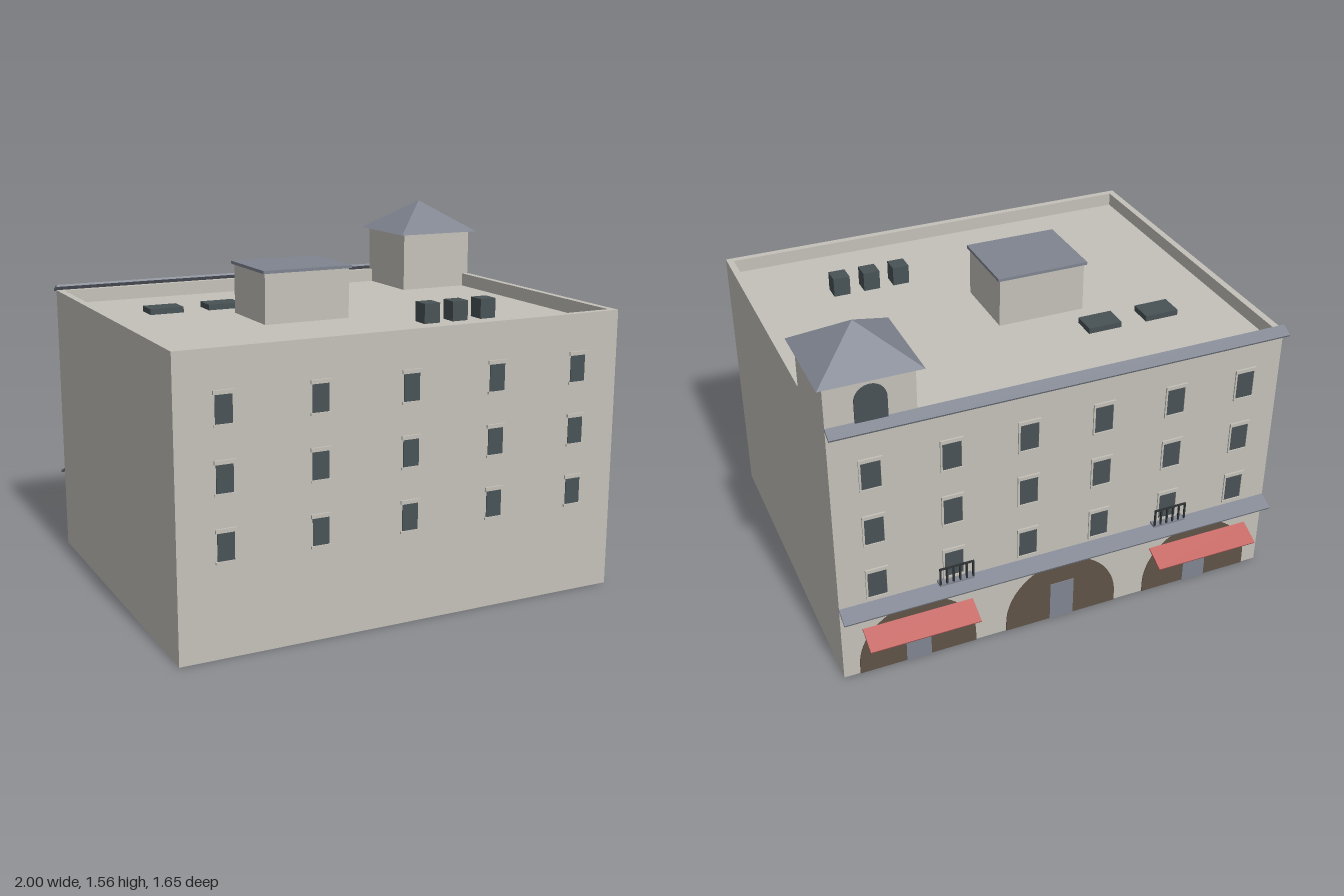
import * as THREE from 'three';

const mat = (name, color) => {
  const m = new THREE.MeshStandardMaterial({ color });
  m.name = name;
  return m;
};

export function createModel() {
  const root = new THREE.Group();
  root.name = 'building';
  const wall = mat('stone wall', 0xc4c1b9);
  const slate = mat('slate roof', 0x7f8490);
  const glass = mat('dark glass', 0x485255);
  const brown = mat('arch infill', 0x5e5347);
  const red = mat('awning cloth', 0xc2635f);
  const iron = mat('iron railing', 0x2e3335);

  const add = (name, geo, material, parent = root) => {
    const mesh = new THREE.Mesh(geo, material);
    mesh.name = name;
    parent.add(mesh);
    return mesh;
  };
  // Box given by its min and max along each axis
  const box = (name, material, x0, x1, y0, y1, z0, z1, parent) => {
    const m = add(name, new THREE.BoxGeometry(x1 - x0, y1 - y0, z1 - z0), material, parent);
    m.position.set((x0 + x1) / 2, (y0 + y1) / 2, (z0 + z1) / 2);
    return m;
  };
  // Thin sloping slab running from an inner edge down to an outer edge
  const slope = (name, material, x0, x1, y1, z1, y2, z2, t) => {
    const m = add(name, new THREE.BoxGeometry(x1 - x0, t, Math.hypot(y2 - y1, z2 - z1)), material);
    m.position.set((x0 + x1) / 2, (y1 + y2) / 2, (z1 + z2) / 2);
    m.rotation.x = Math.atan2(y2 - y1, z1 - z2);
    return m;
  };
  // Round-headed outline
  const arch = (C, x, r, y0, spring) => {
    const s = new C();
    s.moveTo(x - r, y0);
    s.lineTo(x + r, y0);
    s.lineTo(x + r, spring);
    s.absarc(x, spring, r, 0, Math.PI, false);
    s.closePath();
    return s;
  };
  const plate = (shape, depth) =>
    new THREE.ExtrudeGeometry(shape, { depth, bevelEnabled: false, curveSegments: 20 });

  const L = -1, R = 0.97, BACK = -0.715, FRONT = 0.82, ROOF = 1.15, TOP = 1.21;
  const W = R - L;

  // Main block with a parapet around the sunken roof
  box('mainBlock', wall, L, R, 0, ROOF, BACK, FRONT);
  box('parapetFront', wall, L, R, ROOF, TOP, FRONT - 0.03, FRONT);
  box('parapetBack', wall, L, R, ROOF, TOP, BACK, BACK + 0.03);
  box('parapetRight', wall, L, L + 0.03, ROOF, TOP, BACK + 0.03, FRONT - 0.03);
  box('parapetLeft', wall, R - 0.03, R, ROOF, TOP, BACK + 0.03, FRONT - 0.03);

  // Corner tower with pyramid roof and arched opening
  box('tower', wall, 0.61, R, ROOF, 1.417, BACK, -0.36);
  const pyramid = new THREE.ConeGeometry(0.207 * Math.SQRT2, 0.143, 4, 1).toNonIndexed();
  pyramid.rotateY(Math.PI / 4);
  pyramid.computeVertexNormals();
  add('towerRoof', pyramid, slate).position.set(0.79, 1.4885, -0.54);
  add('towerWindow', plate(arch(THREE.Shape, 0.79, 0.065, 1.22, 1.32), 0.006), glass)
    .position.z = BACK - 0.006;

  // Roof house, vents and skylights
  box('roofHouse', wall, -0.365, 0.025, ROOF, 1.365, -0.13, 0.2);
  box('roofHouseCap', slate, -0.375, 0.035, 1.365, 1.378, -0.14, 0.21);
  for (const x of [0.28, 0.417, 0.555])
    box('roofVent', glass, x - 0.037, x + 0.037, ROOF, 1.235, 0.393, 0.47);
  for (const x of [-0.64, -0.37])
    box('skylight', glass, x - 0.076, x + 0.076, ROOF, 1.175, -0.34, -0.235);

  // Windows: thin glass with lintel, sill and optional jambs; dir is the outward z
  const windowUnit = (x, y, w, h, z, dir, jambs) => {
    const g = new THREE.Group();
    g.name = dir > 0 ? 'frontWindow' : 'backWindow';
    root.add(g);
    const bar = (name, m, x0, x1, y0, y1, d) =>
      box(name, m, x + x0, x + x1, y + y0, y + y1, Math.min(z, z + dir * d), Math.max(z, z + dir * d), g);
    const a = w / 2, b = h / 2;
    bar('windowGlass', glass, -a, a, -b, b, 0.003);
    bar('lintel', wall, -a - 0.008, a + 0.008, b, b + 0.016, 0.008);
    bar('sill', wall, -a - 0.008, a + 0.008, -b - 0.01, -b, 0.008);
    if (jambs) for (const s of [-1, 1])
      bar('jamb', wall, s * (a + 0.004) - 0.004, s * (a + 0.004) + 0.004, -b, b, 0.006);
  };
  for (const y of [0.45, 0.715, 0.98]) {
    for (let i = 0; i < 5; i++)
      windowUnit(L + (W * (i + 0.5)) / 5, y, 0.07, 0.112, FRONT, 1, false);
    for (let i = 0; i < 6; i++)
      windowUnit(L + (W * (i + 0.5)) / 6, y + 0.005, 0.08, 0.122, BACK, -1, true);
  }

  // Sloping cornices along the back
  slope('upperCornice', slate, L, R, 1.23, BACK + 0.003, 1.205, -0.76, 0.01);
  slope('lowerCornice', slate, L, R, 0.364, BACK + 0.003, 0.334, -0.782, 0.01);

  // Ground-floor arches with doors
  for (let i = 0; i < 3; i++) {
    const x = L + (W * (i + 0.5)) / 3;
    add('archInfill', plate(arch(THREE.Shape, x, 0.258, 0, 0.045), 0.004), brown)
      .position.z = BACK - 0.004;
    box('door', slate, x - 0.055, x + 0.055, 0, 0.19, BACK - 0.007, BACK);
    // Awnings over the outer two arches
    if (i !== 1)
      slope('awning', red, x - 0.24, x + 0.24, 0.243, -0.727, 0.198, -0.825, 0.008);
  }

  // Two small balconies
  for (const i of [1, 4]) {
    const x = L + (W * (i + 0.5)) / 6;
    const g = new THREE.Group();
    g.name = 'balcony';
    root.add(g);
    box('balconySlab', slate, x - 0.075, x + 0.075, 0.375, 0.384, -0.752, BACK, g);
    box('topRail', iron, x - 0.075, x + 0.075, 0.458, 0.465, -0.752, -0.745, g);
    for (let k = 0; k < 6; k++) {
      const bx = x - 0.0715 + k * 0.0286;
      box('baluster', iron, bx - 0.0035, bx + 0.0035, 0.384, 0.458, -0.752, -0.745, g);
    }
  }
  return root;
}
